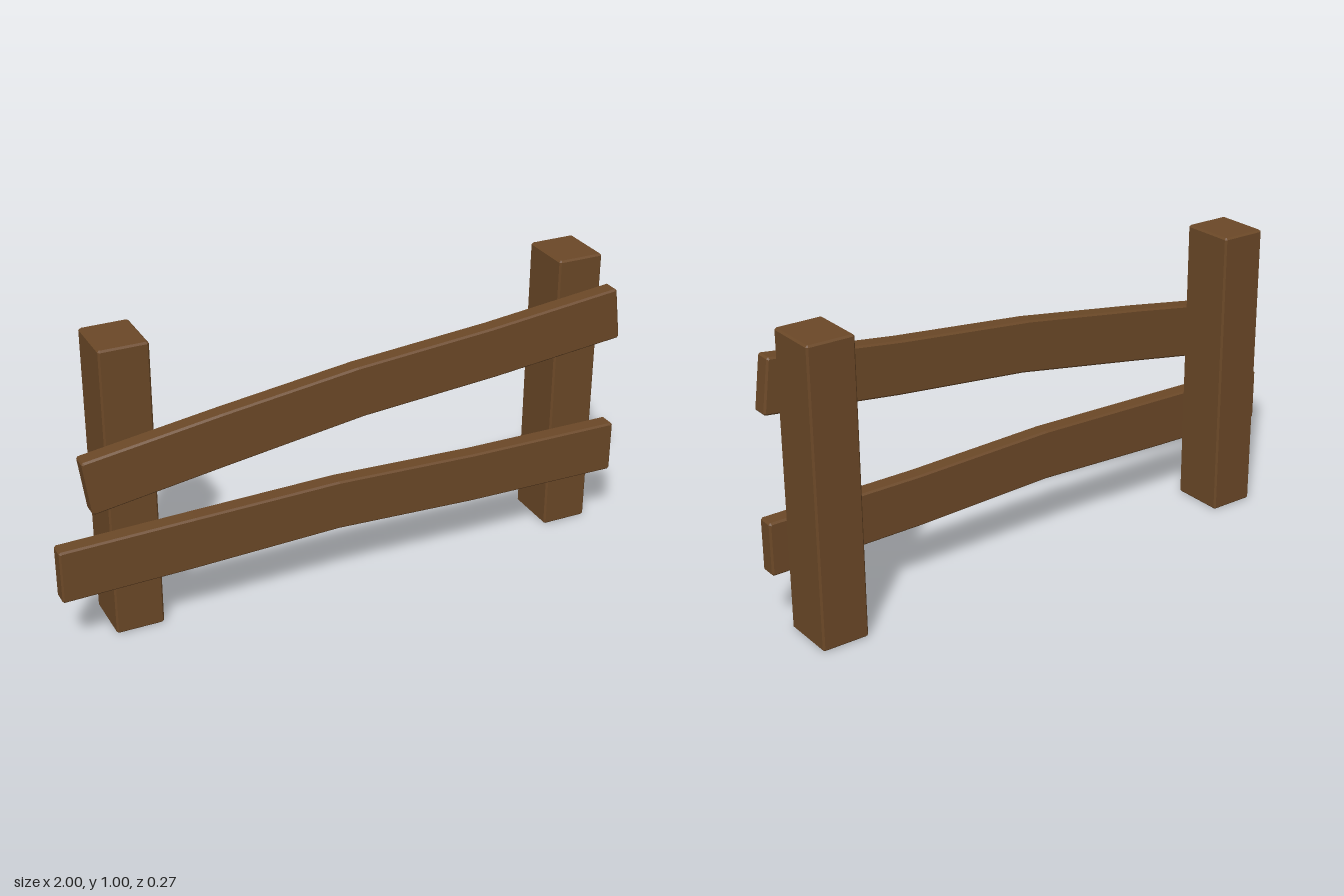
import * as THREE from 'three';

const BEVEL = 0.006;
const wood = new THREE.MeshStandardMaterial({ color: 0x6b4827, flatShading: true });

// Closed outline whose sharp corners are cut by a small chamfer
function chamferedShape(corners) {
  const pts = corners.map(([x, y]) => new THREE.Vector2(x, y));
  const n = pts.length;
  const out = [];
  pts.forEach((p, i) => {
    const a = pts[(i + n - 1) % n].clone().sub(p).normalize();
    const b = pts[(i + 1) % n].clone().sub(p).normalize();
    if (a.dot(b) < -0.8) out.push(p); // gentle bend stays as it is
    else out.push(p.clone().addScaledVector(a, BEVEL), p.clone().addScaledVector(b, BEVEL));
  });
  return new THREE.Shape(out);
}

// Extruded timber, bevelled at both faces, running from 0 to depth
function timber(corners, depth) {
  const geo = new THREE.ExtrudeGeometry(chamferedShape(corners), {
    depth: depth - 2 * BEVEL, bevelEnabled: true, bevelSegments: 1,
    bevelThickness: BEVEL, bevelSize: BEVEL, bevelOffset: -BEVEL,
  });
  return geo.translate(0, 0, BEVEL);
}

function addPart(group, name, geo) {
  const mesh = new THREE.Mesh(geo, wood);
  mesh.name = name;
  group.add(mesh);
  return mesh;
}

// Bent plank: lower edge left to right, upper edge right to left;
// its back face moves from z0 at the left end to z1 at the right end
function rail(lower, upper, z0, z1) {
  const geo = timber([...lower, ...upper], 0.06);
  const pos = geo.attributes.position;
  for (let i = 0; i < pos.count; i++) {
    const t = (pos.getX(i) + 0.91) / 1.89;
    pos.setZ(i, pos.getZ(i) + z0 + (z1 - z0) * t);
  }
  geo.computeVertexNormals();
  return geo;
}

export function createModel() {
  const group = new THREE.Group();
  group.name = 'fence';

  // Upright posts
  const w = 0.081, d = 0.095;
  for (const [name, x] of [['rightPost', -0.735], ['leftPost', 0.86]]) {
    const geo = timber([[-w, -d], [w, -d], [w, d], [-w, d]], 1.005).rotateX(-Math.PI / 2);
    addPart(group, name, geo).position.set(x, 0, -0.04);
  }

  // Lower rail, arched slightly
  addPart(group, 'lowerRail', rail(
    [[-1, 0.2], [-0.55, 0.21], [-0.05, 0.227], [0.45, 0.207], [1, 0.2]],
    [[1, 0.382], [0.45, 0.386], [-0.05, 0.403], [-0.55, 0.393], [-1, 0.383]], 0.05, 0.05));

  // Upper rail, sloping up and leaning forward at its raised end
  addPart(group, 'upperRail', rail(
    [[-0.883, 0.488], [-0.43, 0.56], [0.035, 0.631], [0.51, 0.672], [0.98, 0.724]],
    [[0.957, 0.906], [0.49, 0.851], [0.01, 0.808], [-0.45, 0.744], [-0.908, 0.674]], 0.05, 0.075));

  return group;
}
